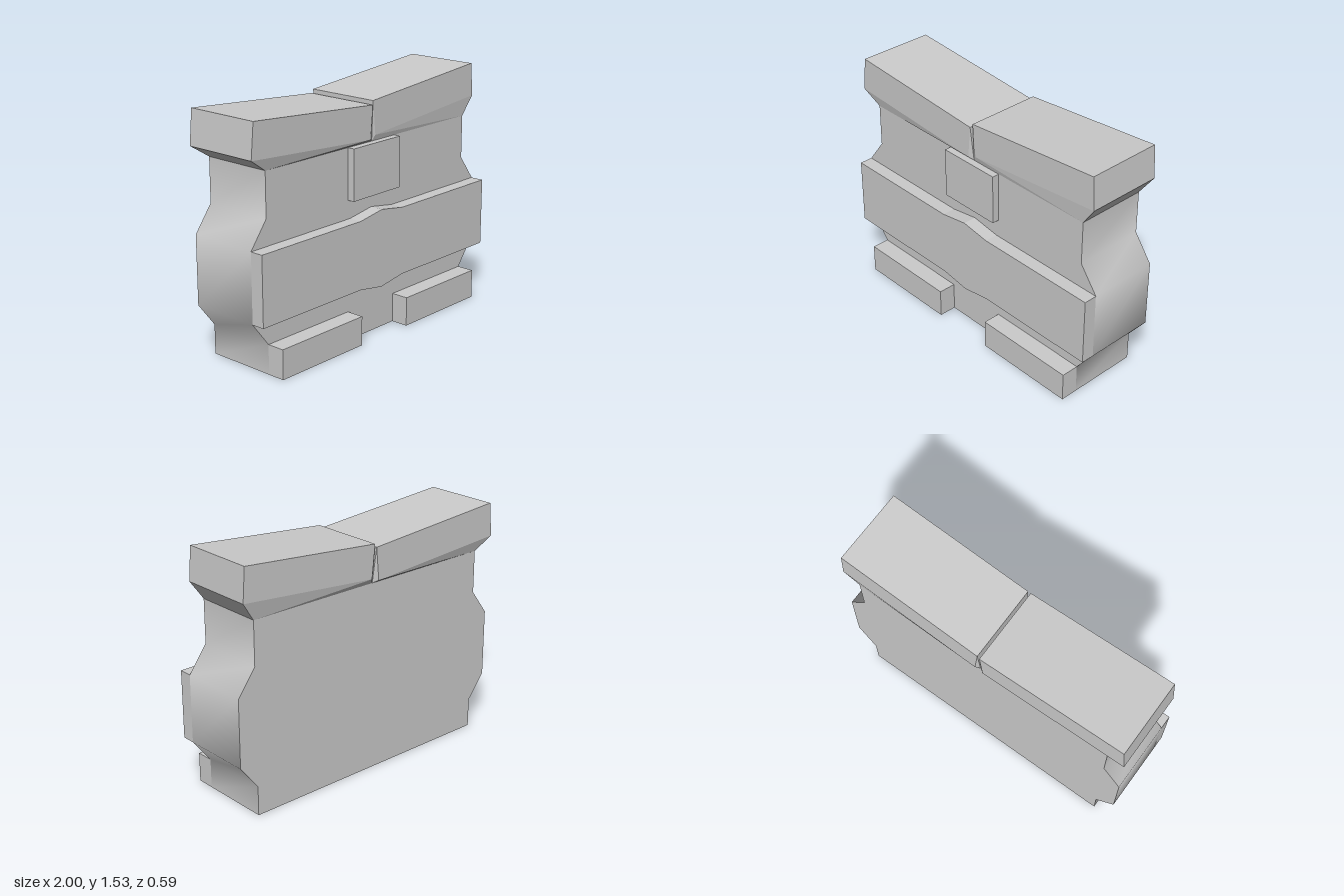
import * as THREE from 'three';
import { toCreasedNormals } from 'three/addons/utils/BufferGeometryUtils.js';
import { ConvexGeometry } from 'three/addons/geometries/ConvexGeometry.js';

const BACK = -0.27, FRONT = 0.18;

export function createModel() {
  const model = new THREE.Group();
  const material = new THREE.MeshStandardMaterial({ color: 0xcccccc });

  const add = (name, geometry) => {
    const mesh = new THREE.Mesh(geometry, material);
    mesh.name = name;
    model.add(mesh);
  };

  // Extrudes an outline given by its right half, bottom to top, mirrored in x
  const mirroredSlab = (half, z0, z1) => {
    const left = half.filter(([x]) => x > 0).reverse().map(([x, y]) => [-x, y]);
    const shape = new THREE.Shape([...half, ...left].map(([x, y]) => new THREE.Vector2(x, y)));
    return new THREE.ExtrudeGeometry(shape, { depth: z1 - z0, bevelEnabled: false }).translate(0, 0, z0);
  };

  const box = (x0, x1, y0, y1, z0, z1) =>
    new THREE.BoxGeometry(x1 - x0, y1 - y0, z1 - z0)
      .translate((x0 + x1) / 2, (y0 + y1) / 2, (z0 + z1) / 2);

  // Main block, with softly shaded sides
  const body = mirroredSlab(
    [[0.88, 0], [0.88, 0.185], [1, 0.34], [1, 0.77], [0.88, 0.93], [0.88, 1.205]], BACK, FRONT);
  add('body', toCreasedNormals(body, Math.PI / 3));

  // Raised band with a shallow point in the middle
  add('frontBand', mirroredSlab(
    [[0, 0.31], [0.19, 0.34], [1, 0.34], [1, 0.77], [0.19, 0.77], [0, 0.8]], FRONT, 0.265));

  add('frontPlate', box(-0.207, 0.207, 0.885, 1.204, FRONT, 0.225));
  add('leftFoot', box(0.207, 0.88, 0, 0.185, FRONT, 0.293));
  add('rightFoot', box(-0.88, -0.207, 0, 0.185, FRONT, 0.293));

  // Tilted top blocks, tapering down to the body
  const cap = (outline, foot, z0, z1) => {
    const points = [];
    for (const [x, y] of outline) for (const z of [z0, z1]) points.push(new THREE.Vector3(x, y, z));
    for (const x of foot) for (const z of [BACK, FRONT]) points.push(new THREE.Vector3(x, 1.205, z));
    return new ConvexGeometry(points);
  };
  add('leftCap', cap([[0, 1.45], [0.95, 1.535], [0.965, 1.325], [0.022, 1.24]], [0, 0.88], -0.293, 0.19));
  add('rightCap', cap([[-0.013, 1.427], [-0.98, 1.5], [-1, 1.285], [-0.032, 1.22]], [-0.002, -0.88], -0.293, 0.198));

  return model;
}
